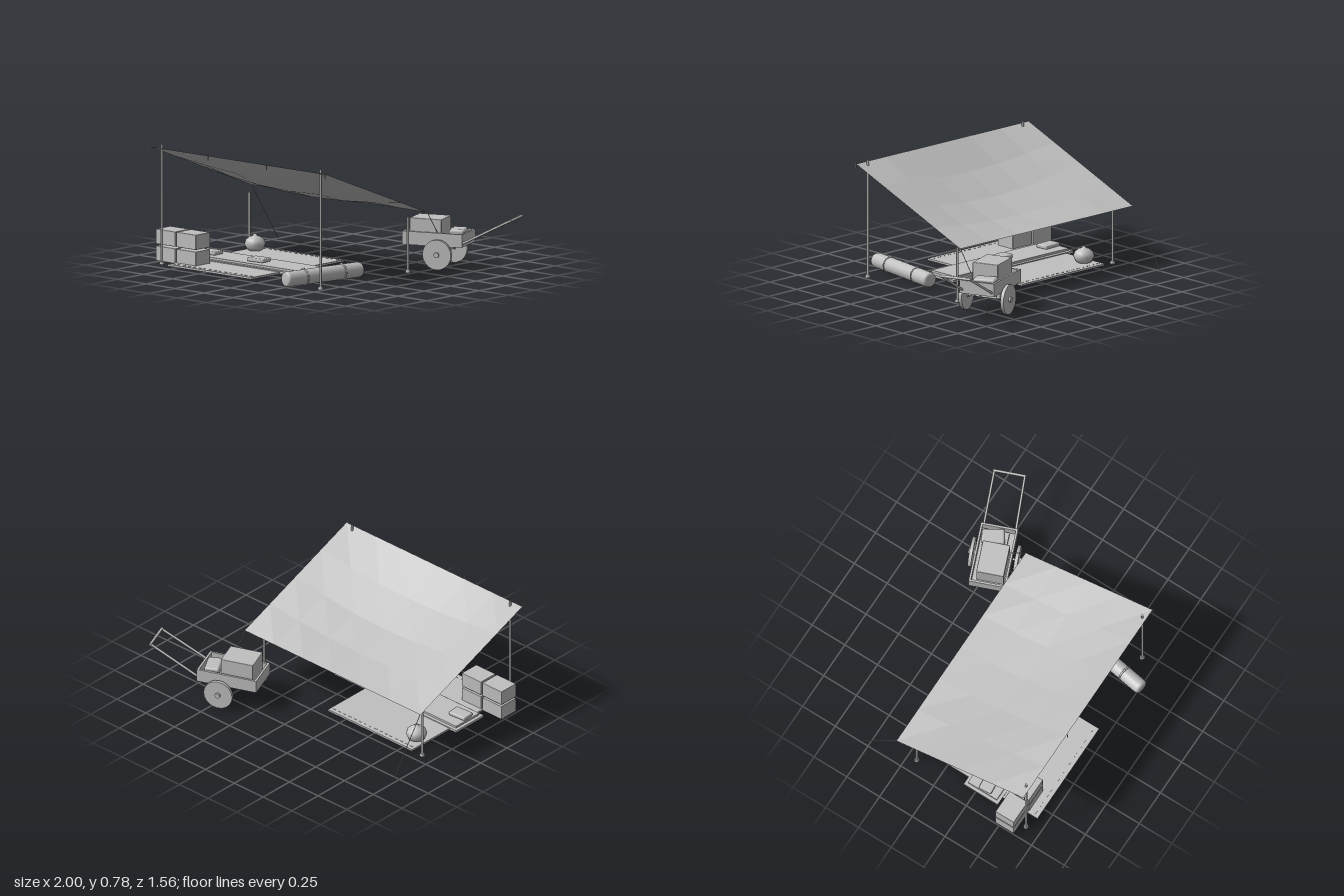
import * as THREE from 'three';
import { RoundedBoxGeometry } from 'three/addons/geometries/RoundedBoxGeometry.js';

const grey = new THREE.MeshStandardMaterial({ color: 0xc0c0c0 });
grey.name = 'plainGrey';
const clothGrey = new THREE.MeshStandardMaterial({ color: 0xc0c0c0, side: THREE.DoubleSide, flatShading: true });
clothGrey.name = 'clothGrey';

const V = (x, y, z) => new THREE.Vector3(x, y, z);

function add(parent, name, geometry, x = 0, y = 0, z = 0, material = grey) {
  const mesh = new THREE.Mesh(geometry, material);
  mesh.name = name;
  mesh.position.set(x, y, z);
  parent.add(mesh);
  return mesh;
}

function box(parent, name, w, h, d, x, y, z) {
  return add(parent, name, new THREE.BoxGeometry(w, h, d), x, y, z);
}

// Round bar between two points
function rod(parent, name, a, b, r, sides = 8) {
  const mid = a.clone().add(b).multiplyScalar(0.5);
  const mesh = add(parent, name, new THREE.CylinderGeometry(r, r, a.distanceTo(b), sides), mid.x, mid.y, mid.z);
  mesh.quaternion.setFromUnitVectors(V(0, 1, 0), b.clone().sub(a).normalize());
  return mesh;
}

function group(parent, name) {
  const g = new THREE.Group();
  g.name = name;
  parent.add(g);
  return g;
}

function buildShelter(root) {
  const shelter = group(root, 'shelter');

  // Sagging cloth roof
  const cloth = new THREE.PlaneGeometry(1, 1, 6, 4);
  const p = cloth.attributes.position;
  for (let i = 0; i < p.count; i++) {
    const u = p.getX(i) + 0.5;
    const t = 0.5 - p.getY(i);
    const sag = 0.077 * Math.sin(Math.PI * u) * Math.sin(Math.PI * t);
    p.setXYZ(i, -0.99 + 1.53 * u, 0.39 + 0.375 * (1 - t) - sag, -0.29 + 0.97 * (1 - t));
  }
  // Rows run front to back, so the upper face looks at the sky
  const index = cloth.index.array;
  for (let i = 0; i < index.length; i += 3) [index[i + 1], index[i + 2]] = [index[i + 2], index[i + 1]];
  cloth.computeVertexNormals();
  if (cloth.attributes.normal.getY(17) < 0) {
    for (let i = 0; i < index.length; i += 3) [index[i + 1], index[i + 2]] = [index[i + 2], index[i + 1]];
    cloth.computeVertexNormals();
  }
  add(shelter, 'canopy', cloth, 0, 0, 0, clothGrey);

  // Poles with round feet
  for (const x of [-0.91, 0.465]) {
    for (const [z, top] of [[0.65, 0.785], [-0.185, 0.365]]) {
      rod(shelter, 'pole', V(x, 0.005, z), V(x, top, z), 0.008);
      add(shelter, 'poleFoot', new THREE.CylinderGeometry(0.014, 0.018, 0.018, 10), x, 0.012, z);
    }
  }
  // Rear guy ropes
  for (const x of [-0.987, 0.537]) rod(shelter, 'guyRope', V(x, 0.39, -0.29), V(x, 0.005, -0.55), 0.0025, 5);
  // Toggles along the front edge
  for (let i = 0; i < 4; i++) {
    const x = -0.985 + i * 0.507;
    rod(shelter, 'toggle', V(x, 0.735, 0.687), V(x, 0.775, 0.687), 0.004, 6);
  }
}

function buildGoods(root) {
  const goods = group(root, 'goods');

  // Ground mat with stitched ends, and the runner over it
  box(goods, 'groundMat', 0.73, 0.013, 0.88, -0.465, 0.0115, 0.245);
  for (const z of [-0.165, 0.655]) {
    for (let i = 0; i < 16; i++) box(goods, 'stitch', 0.022, 0.003, 0.005, -0.8 + i * 0.0447, 0.0185, z);
  }
  box(goods, 'runner', 1.06, 0.016, 0.26, -0.36, 0.016, 0.29);
  box(goods, 'runnerTop', 1.01, 0.014, 0.22, -0.365, 0.033, 0.29);

  // Folded cloths
  for (const x of [-0.385, -0.8]) {
    const fold = add(goods, 'foldedCloth', new RoundedBoxGeometry(0.13, 0.026, 0.09, 1, 0.008), x, 0.052, 0.3);
    fold.rotation.y = 0.08;
  }

  // Two by two stack of crates
  for (const x of [-0.914, -0.735]) {
    for (const y of [0.06, 0.17]) add(goods, 'crate', new RoundedBoxGeometry(0.168, 0.098, 0.14, 1, 0.004), x, y, 0.542);
  }

  // Gourd with a short neck
  const profile = [[0, 0.01], [0.03, 0.012], [0.055, 0.028], [0.068, 0.06], [0.06, 0.088], [0.035, 0.107],
    [0.014, 0.113], [0.011, 0.124], [0, 0.126]].map(([r, y]) => new THREE.Vector2(r, y));
  add(goods, 'gourd', new THREE.LatheGeometry(profile, 16), -0.76, 0, -0.075);

  // Rolled carpet tied with two straps
  const roll = group(goods, 'rolledCarpet');
  roll.position.set(0.32, 0.06, 0.47);
  roll.rotation.set(Math.PI / 2, 0, 0.163);
  roll.rotation.order = 'XYZ';
  roll.rotation.set(0, -0.163, 0);
  const rollShape = [[0, -0.31], [0.035, -0.31], [0.046, -0.303], [0.05, -0.29], [0.05, 0.29], [0.046, 0.303],
    [0.035, 0.31], [0, 0.31]].map(([r, y]) => new THREE.Vector2(r, y));
  add(roll, 'carpet', new THREE.LatheGeometry(rollShape, 18)).rotation.x = Math.PI / 2;
  for (const z of [0.155, -0.155]) {
    add(roll, 'strap', new THREE.TorusGeometry(0.05, 0.006, 6, 18), 0, 0, z);
    add(roll, 'knot', new THREE.SphereGeometry(0.009, 8, 6), 0, 0.052, z);
  }
}

function buildCart(root) {
  const cart = group(root, 'handcart');
  cart.position.set(0.46, 0, -0.485);
  cart.rotation.y = 0.375;

  // Open bed
  box(cart, 'bedFloor', 0.4, 0.018, 0.24, 0, 0.164, 0);
  for (const s of [-1, 1]) {
    box(cart, 'sideBoard', 0.41, 0.085, 0.014, 0, 0.2, s * 0.115);
    box(cart, 'endBoard', 0.014, 0.085, 0.22, s * 0.198, 0.2, 0);
    box(cart, 'axleBlock', 0.05, 0.05, 0.025, 0.045, 0.132, s * 0.09);

    // Wheels with hubs
    const wheel = add(cart, 'wheel', new THREE.CylinderGeometry(0.098, 0.098, 0.022, 20), 0.045, 0.106, s * 0.148);
    wheel.rotation.x = Math.PI / 2;
    rod(cart, 'hub', V(0.045, 0.106, s * 0.13), V(0.045, 0.106, s * 0.172), 0.018, 10);

    // Pull shafts
    rod(cart, 'shaft', V(0.19, 0.175, s * 0.105), V(0.53, 0.35, s * 0.1), 0.008);
  }
  rod(cart, 'axle', V(0.045, 0.106, -0.15), V(0.045, 0.106, 0.15), 0.008);
  rod(cart, 'crossGrip', V(0.53, 0.35, -0.108), V(0.53, 0.35, 0.108), 0.009);

  // Load
  add(cart, 'loadCrate', new RoundedBoxGeometry(0.22, 0.15, 0.18, 1, 0.005), -0.054, 0.253, 0.01);
  const sack = add(cart, 'sack', new RoundedBoxGeometry(0.1, 0.055, 0.15, 1, 0.015), 0.125, 0.23, -0.025);
  sack.rotation.y = 0.17;
  box(cart, 'lowerBundle', 0.12, 0.04, 0.16, 0.12, 0.19, -0.01);
}

export function createModel() {
  const root = new THREE.Group();
  root.name = 'marketStall';
  buildShelter(root);
  buildGoods(root);
  buildCart(root);
  return root;
}
